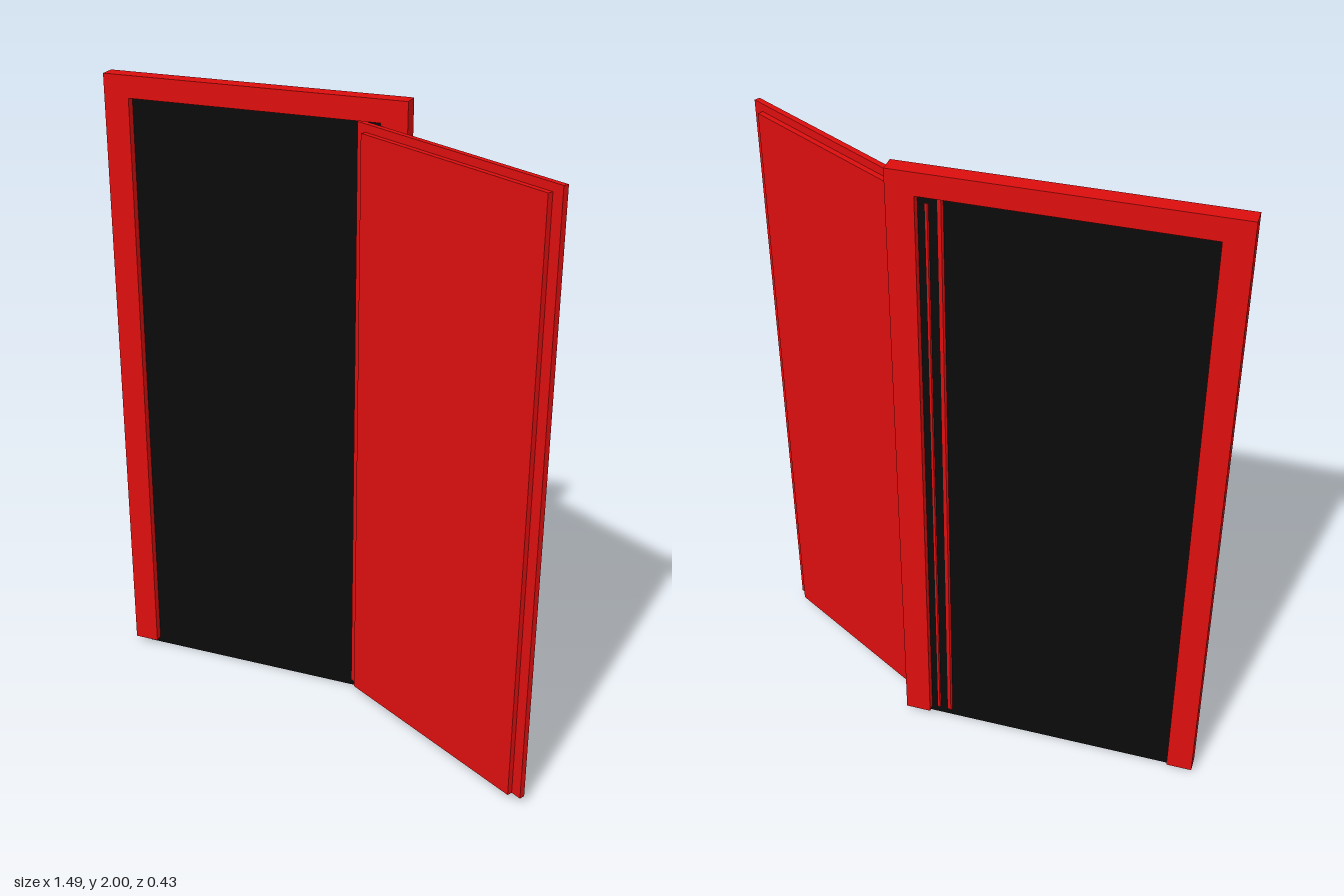
import * as THREE from 'three';

export function createModel() {
  const group = new THREE.Group();
  const red = new THREE.MeshStandardMaterial({ color: 0xdd0e0e });
  const black = new THREE.MeshStandardMaterial({ color: 0x0b0b0b, side: THREE.DoubleSide });

  const add = (parent, name, geometry, material, x = 0, y = 0, z = 0) => {
    const mesh = new THREE.Mesh(geometry, material);
    mesh.name = name;
    mesh.position.set(x, y, z);
    parent.add(mesh);
  };

  // Frame: two jambs and a head, open at the floor
  const outline = [
    [-0.747, 0.02], [-0.667, 0.02], [-0.667, 1.932], [0.126, 1.932],
    [0.126, 0.02], [0.206, 0.02], [0.206, 2], [-0.747, 2],
  ].map(([x, y]) => new THREE.Vector2(x, y));
  const frame = new THREE.ExtrudeGeometry(new THREE.Shape(outline), { depth: 0.051, bevelEnabled: false });
  add(group, 'doorFrame', frame, red, 0, 0, -0.217);

  // Thin dark sheet filling the doorway, set in the middle of the frame
  add(group, 'darkOpening', new THREE.PlaneGeometry(0.87, 1.967), black, -0.27, 0.9835, -0.1915);

  // Door leaf, swung open by 30 degrees: thick slab with a thin lip round sides and top
  const door = new THREE.Group();
  door.name = 'door';
  door.rotation.y = -Math.PI / 6;
  const bottom = 0.025;
  const leaf = (name, width, top, depth) =>
    add(door, name, new THREE.BoxGeometry(width, top - bottom, depth), red, 0.349, (top + bottom) / 2, -0.193);
  leaf('doorSlab', 0.723, 1.902, 0.052);
  leaf('doorLip', 0.793, 1.926, 0.018);
  group.add(door);

  return group;
}
